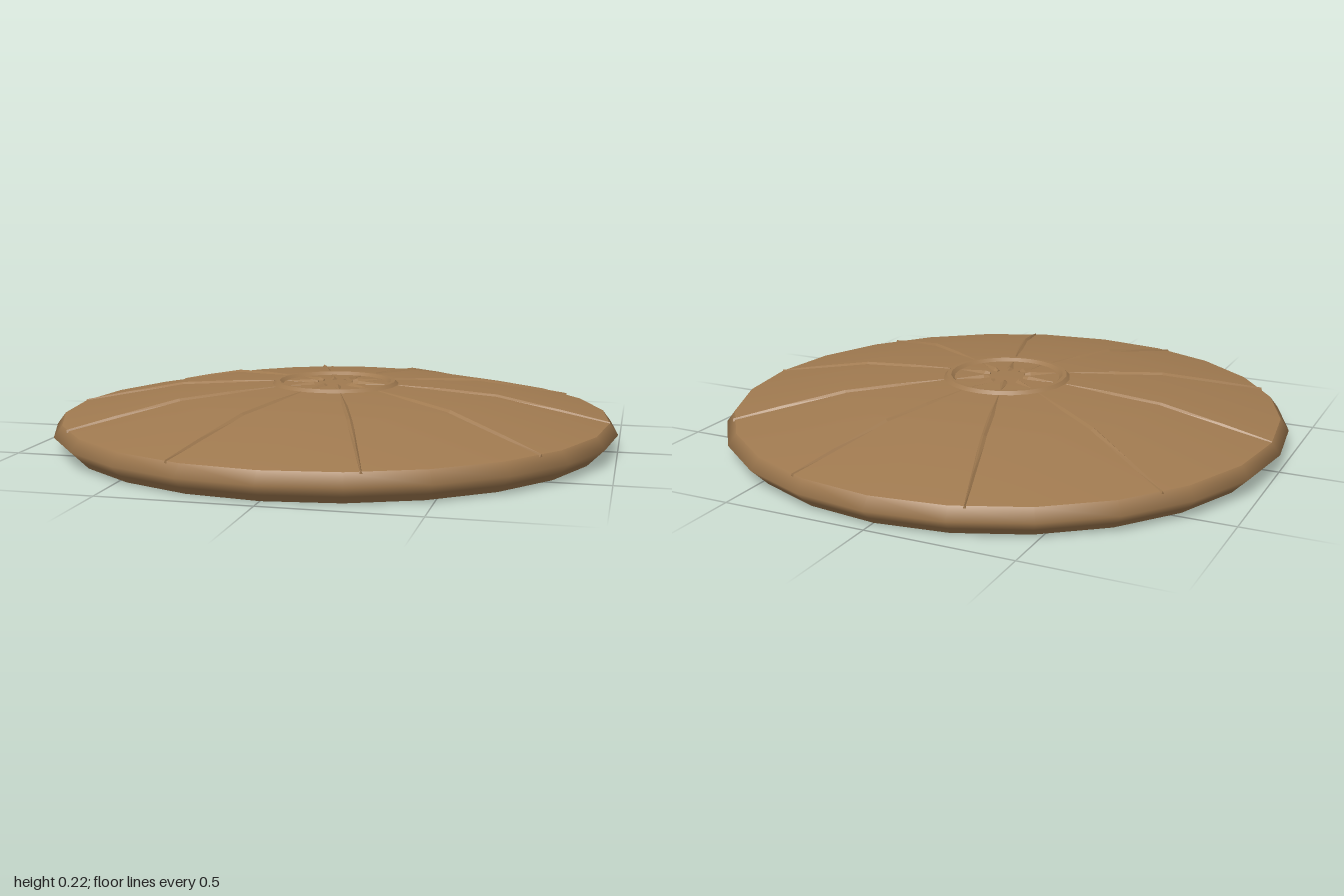
import * as THREE from 'three';

const SIDES = 24;
const RIBS = 10;

// Surface of revolution from [radius, height] pairs
function lathe(name, profile, material) {
  const points = profile.map(([r, y]) => new THREE.Vector2(r, y));
  const mesh = new THREE.Mesh(new THREE.LatheGeometry(points, SIDES), material);
  mesh.name = name;
  return mesh;
}

// Ridge of triangular section along +x; stations are [radius, base height, half width, ridge height]
function ridgeGeometry(stations) {
  const positions = [];
  const index = [];
  for (const [r, y, w, h] of stations) {
    positions.push(r, y, -w, r, y + h, 0, r, y, w);
  }
  for (let i = 0; i < stations.length - 1; i++) {
    const a = i * 3;
    const b = a + 3;
    index.push(a, a + 1, b + 1, a, b + 1, b);
    index.push(a + 2, b + 2, b + 1, a + 2, b + 1, a + 1);
  }
  const e = (stations.length - 1) * 3;
  index.push(0, 2, 1, e, e + 1, e + 2);
  const indexed = new THREE.BufferGeometry();
  indexed.setAttribute('position', new THREE.Float32BufferAttribute(positions, 3));
  indexed.setIndex(index);
  const geometry = indexed.toNonIndexed();
  geometry.computeVertexNormals();
  return geometry;
}

// Repeats one ridge around the axis
function radial(name, geometry, material) {
  const group = new THREE.Group();
  group.name = name + 's';
  for (let i = 0; i < RIBS; i++) {
    const mesh = new THREE.Mesh(geometry, material);
    mesh.name = name;
    mesh.rotation.y = (i * Math.PI * 2) / RIBS;
    group.add(mesh);
  }
  return group;
}

export function createModel() {
  const model = new THREE.Group();
  model.name = 'ribbedDisc';
  const bronze = new THREE.MeshStandardMaterial({ color: 0xa07a50 });
  bronze.name = 'bronze';

  // Body: flat underside, rounded rim and shallow dome
  model.add(lathe('underside', [[0, 0], [0.94, 0]], bronze));
  model.add(lathe('rim', [[0.94, 0], [0.965, 0.025], [1, 0.06], [0.97, 0.1]], bronze));
  model.add(lathe('dome', [[0.97, 0.1], [0.58, 0.178], [0.22, 0.204], [0, 0.205]], bronze));

  // Raised hub ring
  model.add(lathe('hubRingOuter', [[0.228, 0.202], [0.215, 0.215]], bronze));
  model.add(lathe('hubRingTop', [[0.215, 0.215], [0.2, 0.215]], bronze));
  model.add(lathe('hubRingInner', [[0.2, 0.215], [0.188, 0.204]], bronze));

  // Ribs running down the dome
  model.add(radial('rib', ridgeGeometry([
    [0.23, 0.2, 0.005, 0.005],
    [0.4, 0.189, 0.012, 0.009],
    [0.58, 0.175, 0.012, 0.01],
    [0.8, 0.131, 0.008, 0.01],
    [0.97, 0.094, 0.005, 0.01],
  ]), bronze));

  // Rays around the hub centre
  model.add(radial('ray', ridgeGeometry([
    [0.065, 0.204, 0.008, 0.006],
    [0.085, 0.204, 0.014, 0.01],
    [0.18, 0.204, 0.001, 0.002],
  ]), bronze));

  return model;
}
